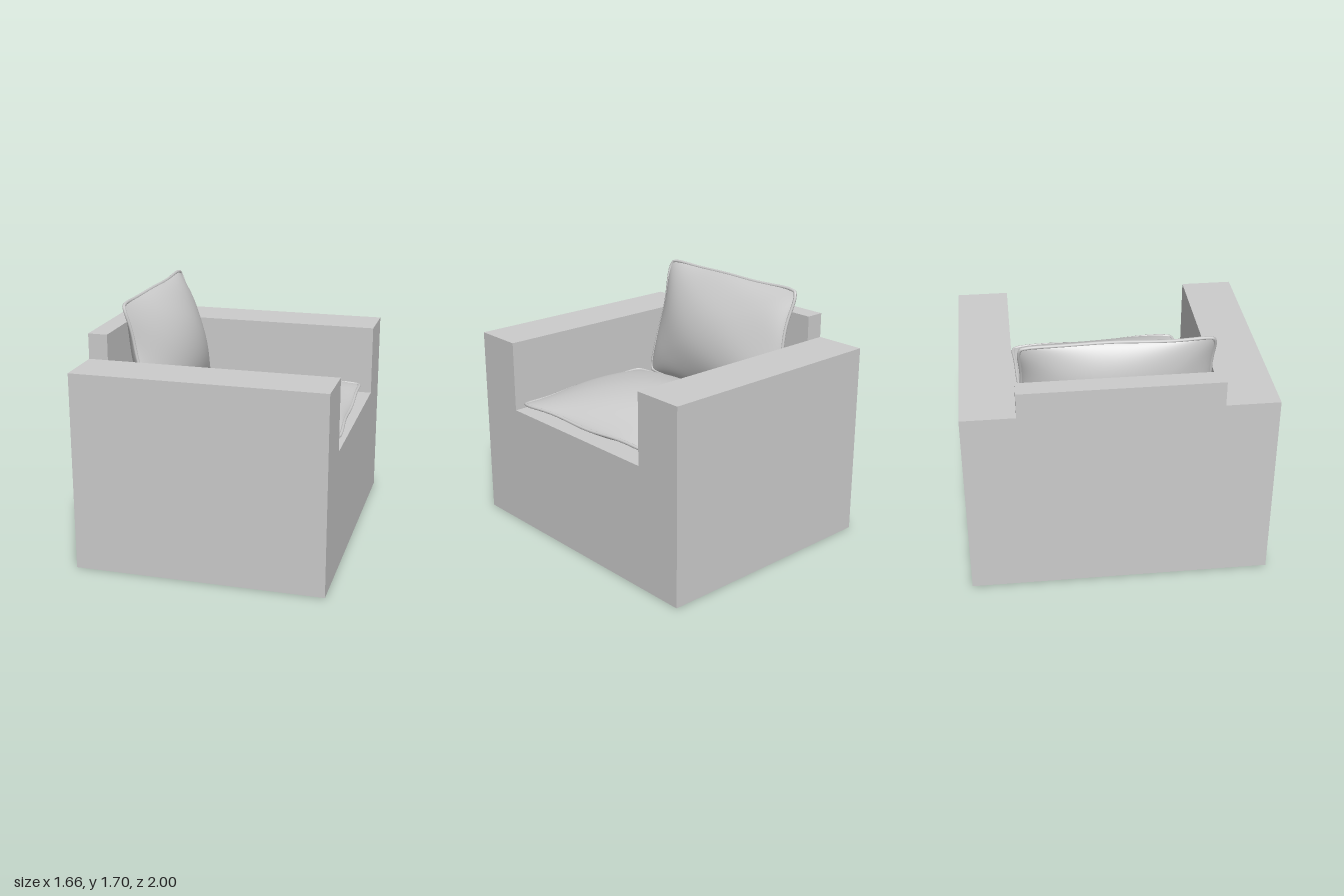
import * as THREE from 'three';
import { mergeGeometries } from 'three/addons/utils/BufferGeometryUtils.js';

const material = new THREE.MeshStandardMaterial({ color: 0xcccccc, side: THREE.DoubleSide });

const W = 0.83, D = 1, ARM_IN = 0.65, BACK_IN = -0.7;
const SEAT = 0.845, ARM = 1.33, BACK = 1.5;

// Flat four-cornered panel, corners counter-clockwise from outside
function quad(a, b, c, d) {
  const g = new THREE.BufferGeometry();
  g.setAttribute('position', new THREE.Float32BufferAttribute([a, b, c, a, c, d].flat(), 3));
  g.computeVertexNormals();
  return g;
}

// Upright panel across the width at a given x, outline given as [z, y]
function endPanel(points, x, facing) {
  const shape = new THREE.Shape(points.map(([z, y]) => new THREE.Vector2(-facing * z, y)));
  const g = new THREE.ShapeGeometry(shape).toNonIndexed();
  g.deleteAttribute('uv');
  return g.rotateY(facing * Math.PI / 2).translate(x, 0, 0);
}

function addMesh(parent, name, geometry) {
  const mesh = new THREE.Mesh(geometry, material);
  mesh.name = name;
  parent.add(mesh);
  return mesh;
}

// Hollow frame, open underneath
function createFrame() {
  const frame = new THREE.Group();
  frame.name = 'frame';

  addMesh(frame, 'frontPanel', endPanel([
    [-D, 0], [D, 0], [D, ARM], [ARM_IN, ARM], [ARM_IN, SEAT], [-ARM_IN, SEAT], [-ARM_IN, ARM], [-D, ARM],
  ], W, 1));
  addMesh(frame, 'backPanel', endPanel([
    [-D, 0], [D, 0], [D, ARM], [ARM_IN, ARM], [ARM_IN, BACK], [-ARM_IN, BACK], [-ARM_IN, ARM], [-D, ARM],
  ], -W, -1));

  // Arms: outer side, top and inner side
  for (const s of [1, -1]) {
    const side = (...p) => quad(...(s > 0 ? p : p.reverse()));
    const z = s * D, zi = s * ARM_IN;
    addMesh(frame, s > 0 ? 'leftArm' : 'rightArm', mergeGeometries([
      side([-W, 0, z], [W, 0, z], [W, ARM, z], [-W, ARM, z]),
      side([-W, ARM, z], [W, ARM, z], [W, ARM, zi], [-W, ARM, zi]),
      side([BACK_IN, ARM, zi], [W, ARM, zi], [W, SEAT, zi], [BACK_IN, SEAT, zi]),
    ]));
    addMesh(frame, 'backrestEnd',
      side([-W, ARM, zi], [BACK_IN, ARM, zi], [BACK_IN, BACK, zi], [-W, BACK, zi]));
  }

  const z = ARM_IN;
  addMesh(frame, 'seat', quad([BACK_IN, SEAT, z], [W, SEAT, z], [W, SEAT, -z], [BACK_IN, SEAT, -z]));
  addMesh(frame, 'backrest', mergeGeometries([
    quad([BACK_IN, SEAT, z], [BACK_IN, SEAT, -z], [BACK_IN, BACK, -z], [BACK_IN, BACK, z]),
    quad([-W, BACK, z], [BACK_IN, BACK, z], [BACK_IN, BACK, -z], [-W, BACK, -z]),
  ]));
  return frame;
}

// Stuffed cushion: two bulging faces joined by a piped, slightly wavy seam
function createCushion(name, a, b, bulge, phase) {
  const cushion = new THREE.Group();
  cushion.name = name;

  // u and v run from -1 to 1; side is 1 front, -1 rear, 0 on the seam
  const point = (u, v, side) => {
    const pullX = 1 - 0.035 * v ** 14 - 0.02 * (1 - v * v) + 0.006 * Math.sin(6 * v + phase);
    const pullY = 1 - 0.035 * u ** 14 - 0.02 * (1 - u * u) + 0.006 * Math.sin(6 * u + phase);
    const full = Math.max(0, (1 - u * u) * (1 - v * v)) ** 0.7;
    const wave = 0.008 * Math.sin(4 * u + 5 * v + phase) * Math.max(u * u, v * v);
    return new THREE.Vector3(a * u * pullX, b * v * pullY, side * bulge * full + wave);
  };

  for (const side of [1, -1]) {
    const g = new THREE.PlaneGeometry(2, 2, 40, 40);
    if (side < 0) g.rotateY(Math.PI);
    const p = g.attributes.position;
    for (let i = 0; i < p.count; i++) {
      // Crowd the rows towards the seam, where the curve is steepest
      const u = Math.sin(p.getX(i) * Math.PI / 2), v = Math.sin(p.getY(i) * Math.PI / 2);
      p.setXYZ(i, ...point(u, v, side).toArray());
    }
    g.computeVertexNormals();
    addMesh(cushion, side > 0 ? 'frontCover' : 'rearCover', g);
  }

  // Piping along the four edges
  const seam = [], n = 24;
  for (const [cx, cy, dx, dy] of [[-1, -1, 1, 0], [1, -1, 0, 1], [1, 1, -1, 0], [-1, 1, 0, -1]]) {
    for (let i = 0; i < n; i++) {
      const t = 1 - Math.cos(Math.PI * (i + 0.5) / n);
      seam.push(point(cx + dx * t, cy + dy * t, 0));
    }
  }
  addMesh(cushion, 'piping',
    new THREE.TubeGeometry(new THREE.CatmullRomCurve3(seam, true), 240, 0.011, 8, true));
  return cushion;
}

export function createModel() {
  const chair = new THREE.Group();
  chair.name = 'armchair';
  chair.add(createFrame());

  const seatCushion = createCushion('seatCushion', 0.555, 0.615, 0.145, 0.5);
  seatCushion.position.set(0.235, 0.91, 0);
  seatCushion.rotation.set(-Math.PI / 2, 0, 0.05);
  chair.add(seatCushion);

  // Back cushion leans against the backrest
  const backCushion = createCushion('backCushion', 0.615, 0.425, 0.19, 2);
  backCushion.position.set(-0.49, 1.285, 0);
  backCushion.rotation.set(0, Math.PI / 2, 0.27, 'ZYX');
  chair.add(backCushion);
  return chair;
}
